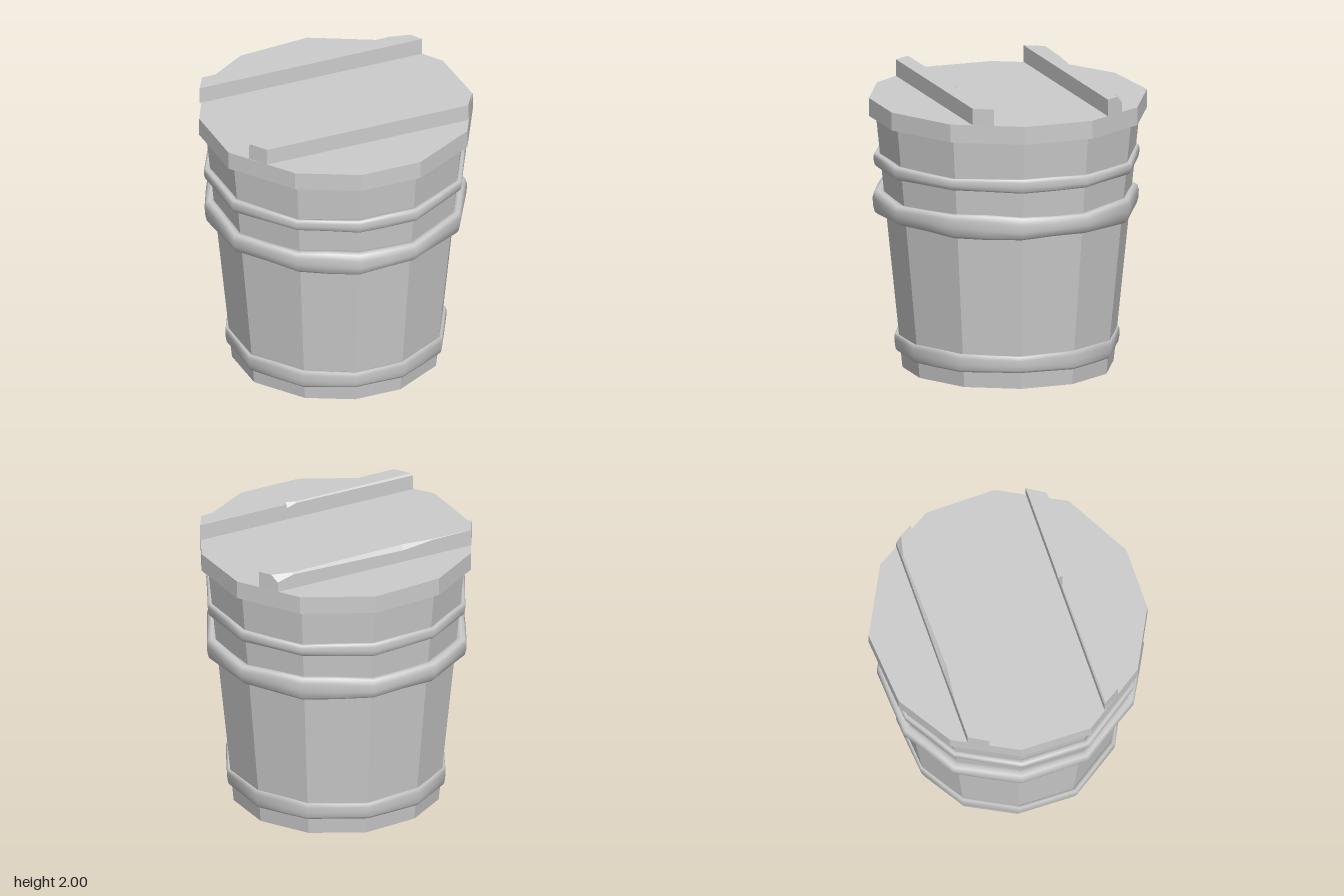
import * as THREE from 'three';
import { mergeVertices } from 'three/addons/utils/BufferGeometryUtils.js';

// Hand-cut twelve-sided outline (x, z), clockwise seen from above
const OUTLINE = [
  [-0.31, -0.89], [0.2, -0.93], [0.66, -0.69], [0.915, -0.27], [0.92, 0.22], [0.68, 0.67],
  [0.22, 0.925], [-0.22, 0.925], [-0.62, 0.72], [-0.92, 0.28], [-0.915, -0.22], [-0.69, -0.65],
];
const LID_BOTTOM = 1.76, LID_TOP = 1.885, TOP = 2;

// Skins a list of closed rings, each an array of Vector3 of equal length
function skin(rings, smooth) {
  const n = rings[0].length, pos = [], idx = [];
  rings.forEach((ring) => ring.forEach((p) => pos.push(p.x, p.y, p.z)));
  for (let j = 0; j < rings.length - 1; j++) {
    for (let i = 0; i < n; i++) {
      const a = j * n + i, c = j * n + (i + 1) % n;
      idx.push(a, a + n, c + n, a, c + n, c);
    }
  }
  let geo = new THREE.BufferGeometry();
  geo.setAttribute('position', new THREE.Float32BufferAttribute(pos, 3));
  geo.setIndex(idx);
  geo = smooth ? mergeVertices(geo, 1e-4) : geo.toNonIndexed();
  geo.computeVertexNormals();
  return geo;
}

function part(name, geo, smooth = false) {
  const mat = new THREE.MeshStandardMaterial({ color: 0xcccccc, flatShading: !smooth });
  const mesh = new THREE.Mesh(geo, mat);
  mesh.name = name;
  return mesh;
}

// Outline ring at a given scale and height
const outlineRing = ([s, y]) => OUTLINE.map(([x, z]) => new THREE.Vector3(x * s, y, z * s));

// Scale of the tapered wall at height y
const wallScale = (y) => 0.76 + 0.19 * y / LID_BOTTOM;

// Soft, slightly uneven hoop wrapped round the wall
function hoop(name, y, height, outer, wobble, seed) {
  const profile = [[0.6, -1], [0.9, -0.75], [1, -0.2], [0.97, 0.5], [0.75, 0.93], [0.4, 1],
    [-0.5, 0.85], [-0.5, -0.85], [0.6, -1]];
  const thick = outer - wallScale(y);
  const rings = profile.map(([u, v]) => {
    const ring = [];
    OUTLINE.forEach(([x0, z0], i) => {
      const [x1, z1] = OUTLINE[(i + 1) % OUTLINE.length];
      for (const t of [0, 0.5]) {
        const k = i + t;
        const py = y + v * height / 2 + wobble * Math.sin(k * 2.3 + seed + v * 1.5);
        const s = wallScale(py) + u * thick * (1 + 0.12 * Math.sin(k * 1.7 + seed));
        const x = x0 + (x1 - x0) * t, z = z0 + (z1 - z0) * t;
        ring.push(new THREE.Vector3(x * s - 0.006, py, z * s + 0.008));
      }
    });
    return ring;
  });
  return part(name, skin(rings, true), true);
}

// Lid batten between z = zA and zB with ends cut to the lid edge;
// the zA top edge is worn by a chamfer, given as [position 0..1, size]
function batten(name, zA, zB, halfA, halfB, wear) {
  const rings = wear.map(([t, c]) => [
    [zB, LID_TOP], [zB, TOP], [zA + c, TOP], [zA, TOP - c], [zA, LID_TOP],
  ].map(([z, y]) => {
    const half = halfA + (halfB - halfA) * (z - zA) / (zB - zA);
    return new THREE.Vector3((t * 2 - 1) * half, y, z);
  }));
  const cap = (ring) => {
    const mid = ring.reduce((m, p) => m.add(p), new THREE.Vector3()).divideScalar(ring.length);
    return ring.map(() => mid);
  };
  return part(name, skin([cap(rings[0]), ...rings, cap(rings[rings.length - 1])]));
}

export function createModel() {
  const model = new THREE.Group();
  model.name = 'barrel';

  // Tapered body with a shallow recess under the base
  model.add(part('body', skin(
    [[0, 0.02], [0.715, 0.02], [0.715, 0], [0.76, 0], [0.95, LID_BOTTOM]].map(outlineRing))));

  // Overhanging lid
  model.add(part('lid', skin(
    [[0.9, LID_BOTTOM], [1, LID_BOTTOM], [1, LID_TOP], [0, LID_TOP]].map(outlineRing))));

  // Hoops
  model.add(hoop('lowerHoop', 0.175, 0.125, 0.808, 0.004, 0));
  model.add(hoop('middleHoop', 1.155, 0.155, 0.955, 0.01, 2));
  model.add(hoop('upperHoop', 1.452, 0.09, 0.958, 0.005, 4));

  // Battens across the lid
  model.add(batten('frontBatten', 0.41, 0.535, 0.825, 0.747,
    [[0, 0.012], [0.55, 0.008], [0.59, 0.03], [0.605, 0.001], [1, 0.001]]));
  model.add(batten('backBatten', -0.545, -0.415, 0.75, 0.825,
    [[0, 0.001], [0.2, 0.005], [0.35, 0.03], [0.92, 0.012], [1, 0.045]]));

  return model;
}
